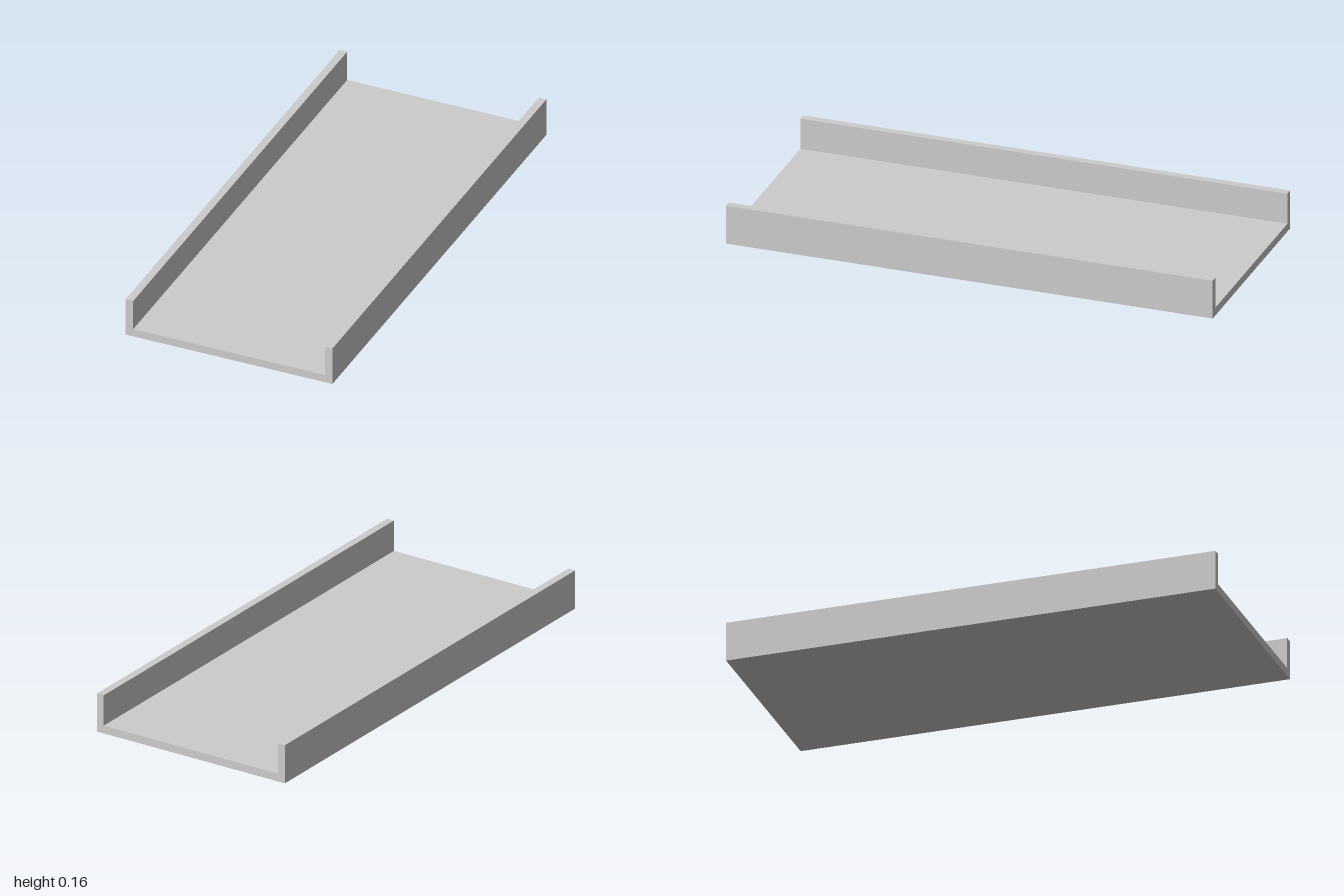
import * as THREE from 'three';

const WIDTH = 0.876, LENGTH = 2, HEIGHT = 0.161;
const FLOOR = 0.033, WALL = 0.032;

export function createModel() {
  const group = new THREE.Group();
  group.name = 'channelTray';
  const material = new THREE.MeshStandardMaterial({ color: 0xcccccc });

  function addBox(name, w, h, x, bottom) {
    const mesh = new THREE.Mesh(new THREE.BoxGeometry(w, h, LENGTH), material);
    mesh.name = name;
    mesh.position.set(x, bottom + h / 2, 0);
    group.add(mesh);
  }

  // Flat floor across the full width
  addBox('floor', WIDTH, FLOOR, 0, 0);

  // Side walls standing on the floor's long edges
  for (const [name, side] of [['leftWall', 1], ['rightWall', -1]]) {
    addBox(name, WALL, HEIGHT - FLOOR, side * (WIDTH - WALL) / 2, FLOOR);
  }

  return group;
}
